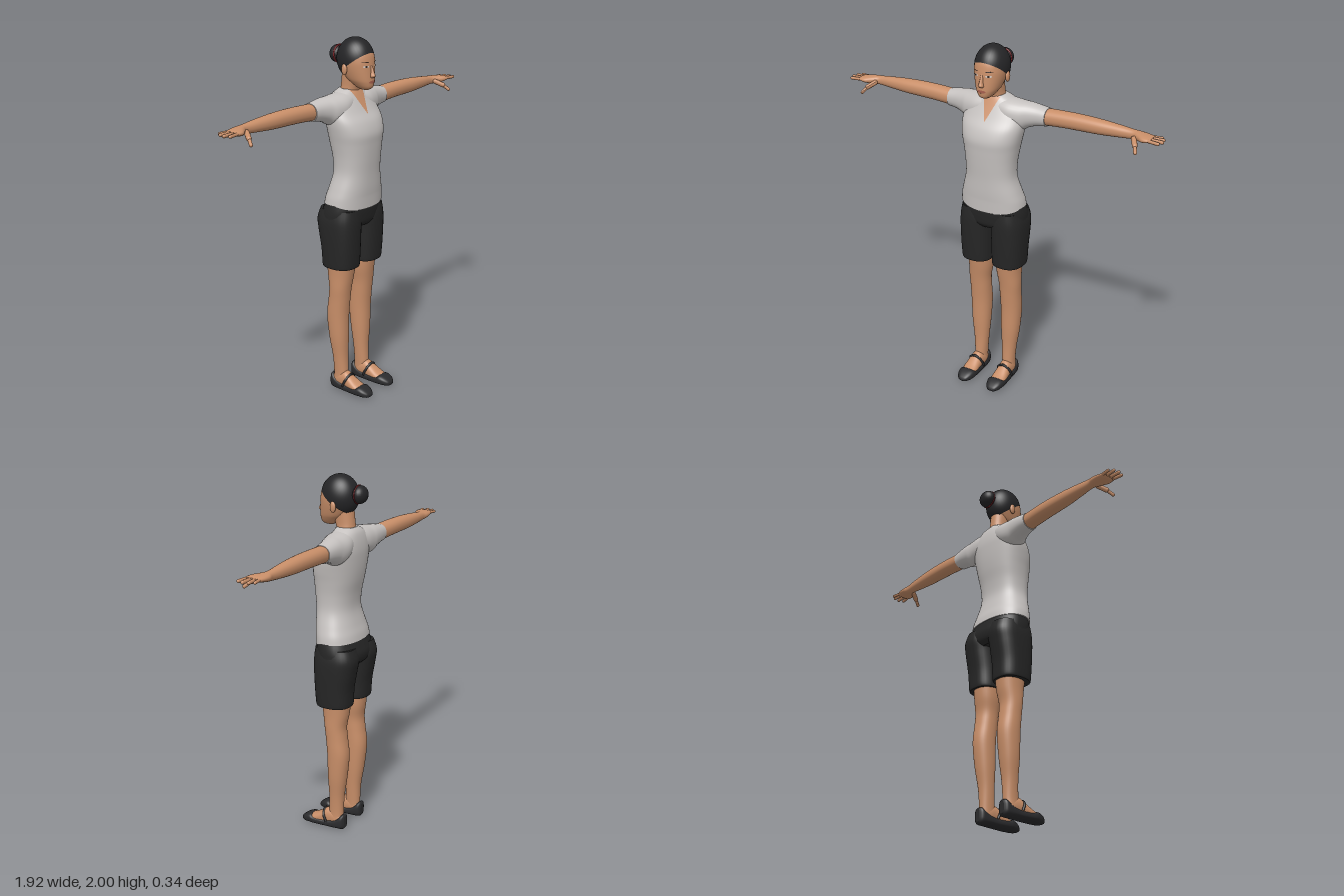
import * as THREE from 'three';

const mat = (name, color, side = THREE.FrontSide) => {
  const m = new THREE.MeshStandardMaterial({ color, side });
  m.name = name;
  return m;
};

// Smoothly resample stations [a, u0, u1, v0, v1]: position on the axis and section bounds
function resample(stations, sub = 5) {
  const out = [], n = stations.length - 1;
  for (let i = 0; i <= n * sub; i++) {
    const k = Math.min(Math.floor(i / sub), n - 1), t = i / sub - k;
    const [p0, p1, p2, p3] = [-1, 0, 1, 2].map(d => stations[Math.min(n, Math.max(0, k + d))]);
    out.push(p1.map((b, j) => {
      const m1 = (p2[j] - p0[j]) / 2, m2 = (p3[j] - b) / 2, d = p2[j] - b;
      return b + t * (m1 + t * (3 * d - 2 * m1 - m2 + t * (m1 + m2 - 2 * d)));
    }));
  }
  return out;
}

// Loft of rounded sections along an axis; u and v are the next two axes in x, y, z order
function loft(axis, stations, power = 2.2, sides = 32) {
  const rows = resample(stations), pos = [], idx = [], k = 'xyz'.indexOf(axis);
  const put = (a, u, v) => {
    const p = [];
    p[k] = a; p[(k + 1) % 3] = u; p[(k + 2) % 3] = v;
    pos.push(...p);
  };
  const bend = c => Math.sign(c) * Math.abs(c) ** (2 / power);
  const ring = ([a, u0, u1, v0, v1]) => {
    for (let j = 0; j < sides; j++) {
      const t = j / sides * Math.PI * 2;
      put(a, (u0 + u1) / 2 + (u1 - u0) / 2 * bend(Math.cos(t)), (v0 + v1) / 2 + (v1 - v0) / 2 * bend(Math.sin(t)));
    }
  };
  rows.forEach(ring);
  for (let i = 0; i < rows.length - 1; i++) for (let j = 0; j < sides; j++) {
    const a = i * sides + j, b = i * sides + (j + 1) % sides;
    idx.push(a, b, a + sides, b, b + sides, a + sides);
  }
  // end caps with their own vertices
  [rows[0], rows[rows.length - 1]].forEach((r, end) => {
    const s = pos.length / 3;
    ring(r);
    put(r[0], (r[1] + r[2]) / 2, (r[3] + r[4]) / 2);
    for (let j = 0; j < sides; j++) {
      const a = s + j, b = s + (j + 1) % sides;
      idx.push(s + sides, end ? a : b, end ? b : a);
    }
  });
  return build(pos, idx);
}

function build(pos, idx) {
  const g = new THREE.BufferGeometry();
  g.setAttribute('position', new THREE.Float32BufferAttribute(pos, 3));
  g.setIndex(idx);
  g.computeVertexNormals();
  return g;
}

// Thin plate lying on the front (+z) of a vertical loft
function plate(stations, power, cx, y0, y1, halfWidth, lift) {
  const rows = resample(stations), pos = [], idx = [], n = 12;
  const frontZ = (x, y) => {
    const i = Math.max(1, rows.findIndex(r => r[0] >= y)), a = rows[i - 1], b = rows[i];
    const t = (y - a[0]) / (b[0] - a[0]), [, z0, z1, , h] = a.map((v, j) => v + (b[j] - v) * t);
    return (z0 + z1) / 2 + (z1 - z0) / 2 * Math.max(0, 1 - Math.abs(x / h) ** power) ** (1 / power);
  };
  for (let i = 0; i <= n; i++) for (let j = 0; j <= n; j++) {
    const y = y0 + (y1 - y0) * i / n, x = cx + halfWidth(i / n) * (j / n * 2 - 1);
    pos.push(x, y, frontZ(x, y) + lift);
    if (i < n && j < n) {
      const a = i * (n + 1) + j;
      idx.push(a, a + 1, a + n + 1, a + 1, a + n + 2, a + n + 1);
    }
  }
  return build(pos, idx);
}

function ellipsoid(x, y, z, rx, ry, rz) {
  return new THREE.SphereGeometry(1, 24, 16).scale(rx, ry, rz).translate(x, y, z);
}

function finger(from, to, r) {
  const a = new THREE.Vector3(...from), b = new THREE.Vector3(...to), d = b.clone().sub(a);
  const q = new THREE.Quaternion().setFromUnitVectors(new THREE.Vector3(0, 1, 0), d.clone().normalize());
  const mid = a.add(b).multiplyScalar(0.5);
  return new THREE.CapsuleGeometry(r, d.length(), 5, 10).applyQuaternion(q).translate(mid.x, mid.y, mid.z);
}

function mirrored(g) {
  const m = g.clone(), p = m.attributes.position, i = m.index.array;
  for (let k = 0; k < p.count; k++) p.setX(k, -p.getX(k));
  for (let k = 0; k < i.length; k += 3) [i[k], i[k + 1]] = [i[k + 1], i[k]];
  m.computeVertexNormals();
  return m;
}

export function createModel() {
  const model = new THREE.Group();
  const skin = mat('skin', 0xc98f69), cloth = mat('shirt grey', 0xc6c2c0), dark = mat('shorts black', 0x262626);
  const hairMat = mat('hair black', 0x252527, THREE.DoubleSide), leather = mat('shoe black', 0x2b2b2d);
  const lipMat = mat('lips', 0xa8604f), white = mat('eye white', 0xd8cdc4), iris = mat('iris brown', 0x33231b);
  const red = mat('hair tie red', 0x7a2024);
  const add = (name, g, m) => {
    const mesh = new THREE.Mesh(g, m);
    mesh.name = name;
    model.add(mesh);
  };
  const pair = (name, g, m) => {
    add('left' + name, g, m);
    add('right' + name, mirrored(g), m);
  };
  const sym = rows => rows.map(([y, z0, z1, h]) => [y, z0, z1, -h, h]);

  // Shirt, with the hem dipping at the front and a V neck
  const torso = sym([[1.112, -0.147, 0.089, 0.189], [1.15, -0.14, 0.092, 0.183], [1.2, -0.125, 0.096, 0.168],
    [1.28, -0.107, 0.1, 0.145], [1.36, -0.112, 0.107, 0.145], [1.44, -0.128, 0.113, 0.156], [1.5, -0.137, 0.115, 0.168],
    [1.56, -0.142, 0.095, 0.178], [1.61, -0.143, 0.06, 0.178], [1.66, -0.137, 0.03, 0.158], [1.7, -0.125, 0.008, 0.11],
    [1.725, -0.105, -0.006, 0.06]]);
  const shirt = loft('y', torso, 2.3, 48), sp = shirt.attributes.position;
  for (let i = 0; i < sp.count; i++) {
    const y = sp.getY(i);
    if (y < 1.15) sp.setY(i, y - 0.03 * Math.max(0, sp.getZ(i) / 0.09) * (1.15 - y) / 0.038);
  }
  shirt.computeVertexNormals();
  add('shirt', shirt, cloth);
  add('neckOpening', plate(torso, 2.3, 0, 1.6, 1.722, t => 0.002 + 0.048 * t, 0.004), skin);
  pair('Sleeve', loft('x', [[0.04, 1.59, 1.715, -0.125, 0.02], [0.1, 1.56, 1.711, -0.14, 0.028], [0.16, 1.548, 1.704, -0.14, 0.014],
    [0.2, 1.567, 1.7, -0.137, -0.005], [0.25, 1.582, 1.692, -0.133, -0.02], [0.3, 1.588, 1.684, -0.128, -0.027]]), cloth);

  // Arms and hands
  pair('Arm', loft('x', [[0.28, 1.592, 1.681, -0.124, -0.031], [0.4, 1.598, 1.684, -0.128, -0.036], [0.5, 1.6, 1.684, -0.128, -0.04],
    [0.6, 1.602, 1.68, -0.126, -0.045], [0.7, 1.608, 1.672, -0.12, -0.055], [0.78, 1.614, 1.664, -0.113, -0.062],
    [0.815, 1.617, 1.662, -0.118, -0.045], [0.85, 1.622, 1.66, -0.116, -0.02], [0.88, 1.628, 1.657, -0.108, -0.018],
    [0.897, 1.637, 1.652, -0.1, -0.028]]), skin);
  [[-0.098, 0.928, -0.106, 0.008], [-0.077, 0.946, -0.083, 0.009], [-0.053, 0.952, -0.052, 0.0095], [-0.031, 0.942, -0.022, 0.009]]
    .forEach(([z, x, tz, r], i) => pair('Finger' + (i + 1), finger([0.875, 1.643, z], [x, 1.642, tz], r), skin));
  pair('ThumbBase', finger([0.8, 1.632, -0.05], [0.825, 1.612, -0.012], 0.014), skin);
  pair('ThumbTip', finger([0.825, 1.612, -0.012], [0.842, 1.587, 0.017], 0.0095), skin);

  // Shorts
  add('shortsSeat', loft('y', sym([[0.975, -0.135, 0.05, 0.13], [1.0, -0.158, 0.07, 0.186], [1.04, -0.165, 0.078, 0.191],
    [1.08, -0.154, 0.082, 0.188], [1.125, -0.138, 0.083, 0.178]]), 2.4, 40), dark);
  pair('ShortsLeg', loft('y', [[0.748, -0.132, 0.06, 0.01, 0.184], [0.765, -0.137, 0.064, 0.007, 0.188], [0.85, -0.142, 0.07, 0.006, 0.192],
    [0.95, -0.16, 0.075, 0.004, 0.195], [1.02, -0.17, 0.076, 0.001, 0.193], [1.08, -0.152, 0.07, 0.01, 0.18]], 2.5), dark);

  // Legs, feet and strapped flat shoes
  pair('Leg', loft('y', [[0.05, -0.085, 0, 0.06, 0.13], [0.1, -0.085, 0, 0.058, 0.128], [0.2, -0.09, -0.004, 0.052, 0.135],
    [0.32, -0.108, 0, 0.044, 0.15], [0.45, -0.12, 0.002, 0.04, 0.157], [0.55, -0.108, 0.01, 0.038, 0.158],
    [0.62, -0.102, 0.018, 0.035, 0.16], [0.7, -0.115, 0.03, 0.022, 0.16], [0.8, -0.125, 0.045, 0.015, 0.165]]), skin);
  pair('Foot', loft('z', [[-0.09, 0.068, 0.122, 0.015, 0.08], [-0.04, 0.058, 0.13, 0.01, 0.11], [0, 0.058, 0.132, 0.01, 0.115],
    [0.04, 0.056, 0.137, 0.01, 0.09], [0.08, 0.054, 0.14, 0.01, 0.066], [0.12, 0.058, 0.135, 0.01, 0.05]]), skin);
  pair('Shoe', loft('z', [[-0.103, 0.078, 0.112, 0.012, 0.078], [-0.09, 0.06, 0.13, 0, 0.088], [-0.05, 0.054, 0.136, 0, 0.06],
    [0, 0.053, 0.138, 0, 0.046], [0.05, 0.05, 0.142, 0, 0.046], [0.09, 0.048, 0.146, 0, 0.05], [0.112, 0.048, 0.145, 0, 0.057],
    [0.14, 0.055, 0.14, 0, 0.048], [0.164, 0.07, 0.125, 0.003, 0.032], [0.172, 0.085, 0.11, 0.008, 0.02]], 2.8), leather);
  const strap = [[0.052, 0.035, 0], [0.06, 0.078, 0.02], [0.096, 0.102, 0.028], [0.132, 0.078, 0.02], [0.139, 0.035, 0]];
  pair('ShoeStrap', new THREE.TubeGeometry(new THREE.CatmullRomCurve3(strap.map(p => new THREE.Vector3(...p))), 24, 0.007, 8), leather);

  // Neck and head
  add('neck', loft('y', sym([[1.67, -0.11, -0.005, 0.055], [1.72, -0.1, 0.003, 0.05], [1.75, -0.096, 0.012, 0.048],
    [1.81, -0.09, 0.03, 0.05]])), skin);
  const head = sym([[1.728, 0.03, 0.075, 0.015], [1.74, 0.005, 0.094, 0.034], [1.765, -0.03, 0.1, 0.053], [1.79, -0.06, 0.1, 0.066],
    [1.84, -0.09, 0.097, 0.08], [1.88, -0.1, 0.094, 0.085], [1.92, -0.105, 0.085, 0.082], [1.96, -0.085, 0.06, 0.062],
    [1.985, -0.055, 0.026, 0.034]]);
  add('head', loft('y', head, 2.2, 40), skin);
  add('nose', loft('y', sym([[1.794, 0.08, 0.103, 0.01], [1.804, 0.08, 0.119, 0.015], [1.82, 0.08, 0.114, 0.011],
    [1.85, 0.08, 0.102, 0.008], [1.868, 0.08, 0.094, 0.006]]), 2, 16), skin);
  pair('Ear', ellipsoid(0.088, 1.838, -0.018, 0.011, 0.03, 0.017), skin);

  // Painted face details
  const oval = w => t => w * Math.sqrt(Math.max(0, 1 - (2 * t - 1) ** 2));
  pair('Eye', plate(head, 2.2, 0.038, 1.85, 1.862, oval(0.016), 0.002), white);
  pair('Iris', plate(head, 2.2, 0.038, 1.85, 1.862, oval(0.006), 0.003), iris);
  pair('Brow', plate(head, 2.2, 0.04, 1.876, 1.881, oval(0.02), 0.002), iris);
  add('lips', plate(head, 2.2, 0, 1.765, 1.781, oval(0.025), 0.003), lipMat);

  // Hair swept back into a bun with a tie
  add('hair', new THREE.SphereGeometry(1, 40, 24, 0, Math.PI * 2, 0, 1.83).rotateX(-0.6)
    .scale(0.092, 0.115, 0.105).translate(0, 1.885, -0.012), hairMat);
  add('bun', ellipsoid(0, 1.9, -0.132, 0.052, 0.048, 0.04), hairMat);
  add('hairTie', new THREE.TorusGeometry(0.047, 0.005, 8, 32).translate(0, 1.9, -0.122), red);
  return model;
}
